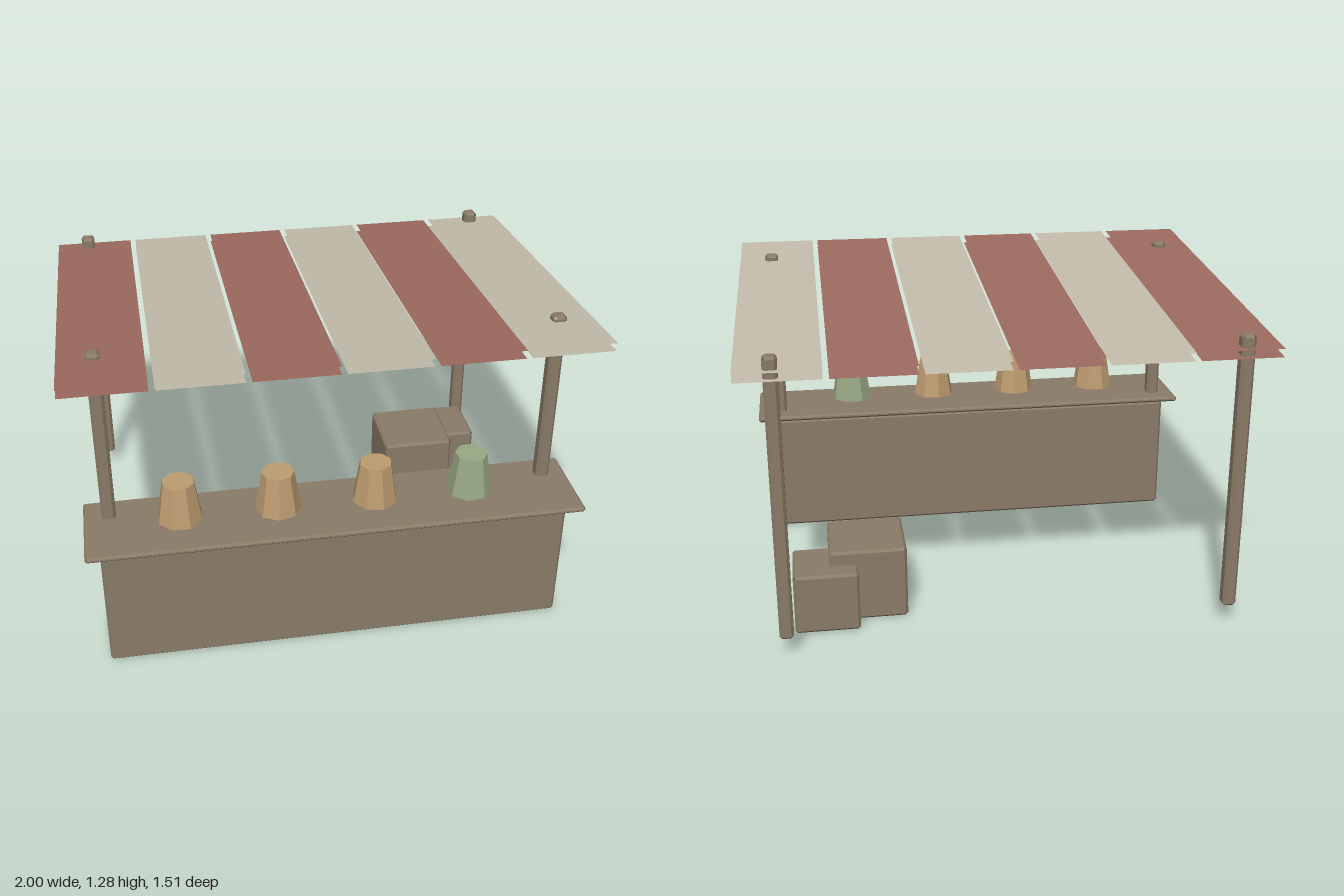
import * as THREE from 'three';

function material(name, color) {
  const m = new THREE.MeshStandardMaterial({ color, side: THREE.DoubleSide });
  m.name = name;
  return m;
}

// Box with chamfered edges and open corners
function chamferBox(w, h, d, b) {
  const half = [w / 2, h / 2, d / 2];
  const positions = [];
  const quad = (corners, normal) => {
    const [p, q, r, s] = corners.map((c) => new THREE.Vector3(...c));
    const n = q.clone().sub(p).cross(r.clone().sub(p));
    const order = n.dot(normal) > 0 ? [p, q, r, p, r, s] : [p, r, q, p, s, r];
    order.forEach((v) => positions.push(v.x, v.y, v.z));
  };
  const point = (i, a, j, c, k, e) => {
    const p = [0, 0, 0];
    p[i] = a; p[j] = c; p[k] = e;
    return p;
  };
  for (let i = 0; i < 3; i++) {
    const j = (i + 1) % 3, k = (i + 2) % 3;
    const J = half[j] - b, K = half[k] - b, I = half[i] - b;
    for (const s of [-1, 1]) {
      // flat side
      const a = s * half[i];
      quad([point(i, a, j, -J, k, -K), point(i, a, j, J, k, -K),
        point(i, a, j, J, k, K), point(i, a, j, -J, k, K)],
      new THREE.Vector3().setComponent(i, s));
      // chamfers between axes i and j, running along k
      for (const t of [-1, 1]) {
        quad([point(i, a, j, t * J, k, -K), point(i, a, j, t * J, k, K),
          point(i, s * I, j, t * half[j], k, K), point(i, s * I, j, t * half[j], k, -K)],
        new THREE.Vector3().setComponent(i, s).setComponent(j, t));
      }
    }
  }
  const g = new THREE.BufferGeometry();
  g.setAttribute('position', new THREE.Float32BufferAttribute(positions, 3));
  g.computeVertexNormals();
  return g;
}

export function createModel() {
  const model = new THREE.Group();
  model.name = 'marketStall';
  const wood = material('wood', 0x8a7b68);
  const red = material('redCloth', 0x9c6a5f);
  const cream = material('creamCloth', 0xc3bcac);
  const tan = material('tanClay', 0xbd9c70);
  const green = material('greenClay', 0x9aa886);

  const add = (name, geometry, mat, x = 0, y = 0, z = 0) => {
    const mesh = new THREE.Mesh(geometry, mat);
    mesh.name = name;
    mesh.position.set(x, y, z);
    model.add(mesh);
    return mesh;
  };
  // Wooden box given by its limits on each axis
  const block = (name, x0, x1, y0, y1, z0, z1, bevel) =>
    add(name, chamferBox(x1 - x0, y1 - y0, z1 - z0, bevel), wood,
      (x0 + x1) / 2, (y0 + y1) / 2, (z0 + z1) / 2);

  // Counter and its top board
  block('counter', -0.913, 0.911, 0.015, 0.535, 0.445, 0.692, 0.01);
  block('counterTop', -0.968, 0.966, 0.551, 0.574, 0.39, 0.75, 0.008);

  // Crates behind the counter
  block('largeCrate', 0.385, 0.692, 0.015, 0.317, -0.483, -0.178, 0.01);
  block('smallCrate', 0.58, 0.837, 0.015, 0.262, -0.565, -0.315, 0.01);

  // Four posts, the rear pair set lower
  for (const x of [-0.87, 0.867]) {
    block('frontPost', x - 0.027, x + 0.027, 0.175, 1.295, 0.46, 0.514, 0.01);
    block('backPost', x - 0.027, x + 0.027, 0.095, 1.215, -0.739, -0.685, 0.01);
  }

  // Sloping awning: striped strips, each an upper and a lower sheet
  const depth = 1.5, rise = 0.13, width = 0.315;
  const sheet = new THREE.PlaneGeometry(width, Math.hypot(depth, rise));
  sheet.rotateX(-Math.PI / 2 - Math.atan2(rise, depth));
  for (let i = 0; i < 6; i++) {
    const x = -1 + width / 2 + i * 0.337;
    const cloth = i % 2 ? cream : red;
    add('awningStripTop', sheet, cloth, x, 1.23, -0.01);
    add('awningStripUnderside', sheet, cloth, x, 1.198, -0.01);
  }

  // Faceted upturned pots on the counter
  const pot = new THREE.CylinderGeometry(0.063, 0.09, 0.167, 8).toNonIndexed();
  pot.computeVertexNormals();
  for (let i = 0; i < 4; i++) {
    const mesh = add('pot', pot, i === 3 ? green : tan, -0.6 + i * 0.38, 0.679, 0.572);
    mesh.rotation.y = Math.PI / 8 + i * 0.3;
  }
  return model;
}
